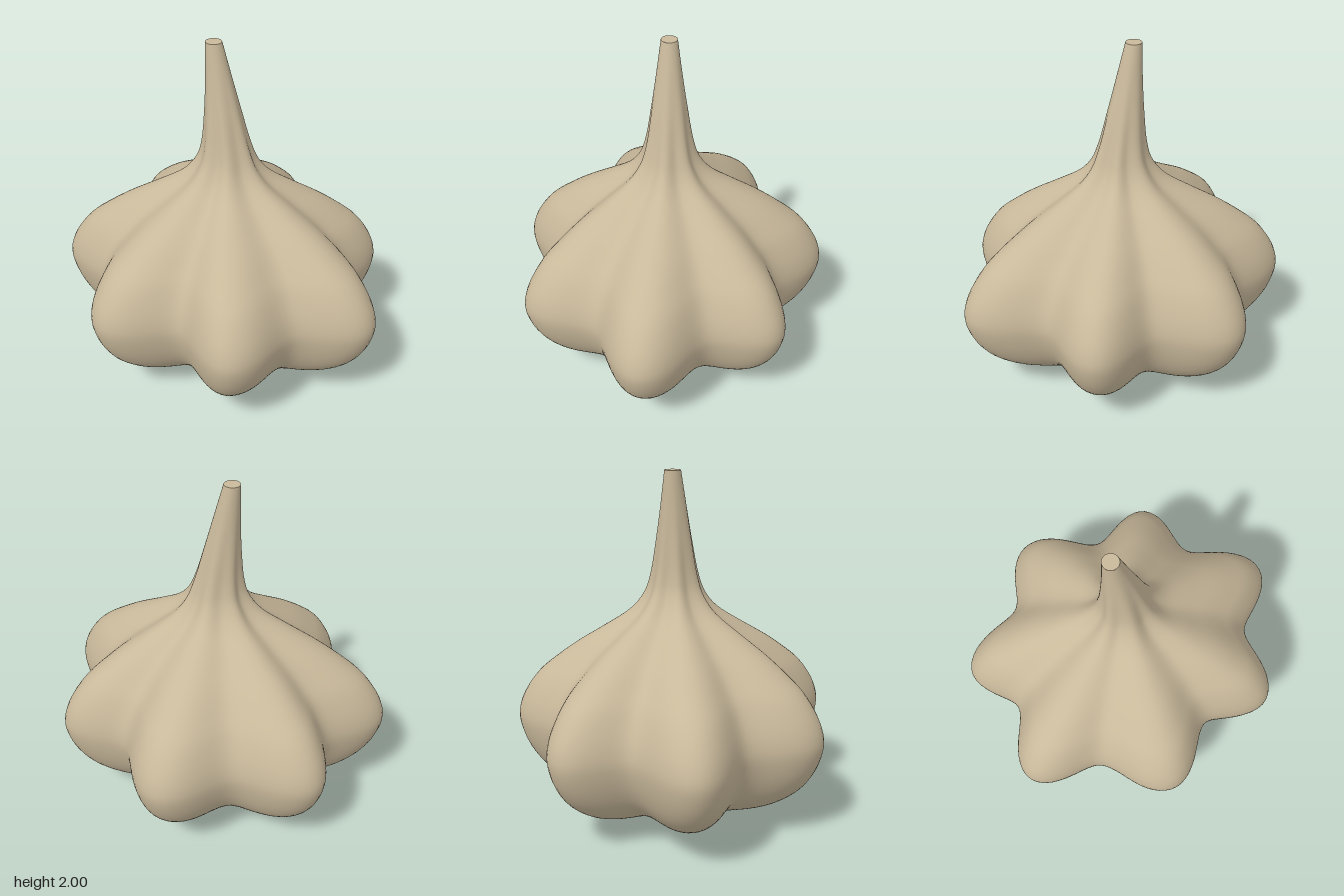
import * as THREE from 'three';

const SEGMENTS = 168, ROWS = 80, MEAN = 0.85;

// Cross-section at the widest height: alternating lobe crests and valleys [degrees, radius]
const LOBES = [
  [3.4, 1.01], [28, 0.76], [55, 0.935], [79, 0.69], [107, 0.93], [135, 0.755], [159, 1.0],
  [184, 0.76], [205.5, 0.965], [233, 0.735], [260, 0.93], [289, 0.70], [313, 0.93], [337, 0.75],
];

// Side profile: [relative width, height]
const PROFILE = [
  [0, 0], [0.24, 0.04], [0.47, 0.085], [0.64, 0.135], [0.77, 0.2], [0.88, 0.29], [0.955, 0.4],
  [0.995, 0.52], [0.99, 0.61], [0.945, 0.71], [0.86, 0.82], [0.75, 0.91], [0.62, 1.0],
  [0.45, 1.1], [0.29, 1.2], [0.2, 1.3], [0.155, 1.42], [0.12, 1.6], [0.085, 1.8], [0.053, 2],
].map(([x, y]) => new THREE.Vector2(x, y));

// Smooth cosine blend between neighbouring crests and valleys
function lobeRadius(deg) {
  const d = deg < LOBES[0][0] ? deg + 360 : deg;
  let i = LOBES.length - 1;
  while (LOBES[i][0] > d) i--;
  const [a0, r0] = LOBES[i];
  const next = LOBES[(i + 1) % LOBES.length];
  const a1 = next[0] < a0 ? next[0] + 360 : next[0];
  const t = (1 - Math.cos(Math.PI * (d - a0) / (a1 - a0))) / 2;
  return r0 + (next[1] - r0) * t;
}

// The axis leans sideways along the stem
function axis(y) {
  const lean = Math.pow(Math.max(0, (y - 1.35) / 0.65), 1.2);
  return [-0.03 - 0.08 * lean, 0.01 + 0.006 * lean];
}

function bulbGeometry() {
  const positions = [], index = [];
  const rows = new THREE.SplineCurve(PROFILE).getPoints(ROWS);
  rows.forEach(({ x: width, y }) => {
    const [cx, cz] = axis(y);
    // Lobes fade out towards the tip of the stem
    const depth = 1 - THREE.MathUtils.smoothstep(y, 0.75, 2);
    for (let i = 0; i < SEGMENTS; i++) {
      const deg = i * 360 / SEGMENTS, a = THREE.MathUtils.degToRad(deg);
      const r = width * (MEAN + depth * (lobeRadius(deg) - MEAN));
      positions.push(cx + r * Math.cos(a), y, cz + r * Math.sin(a));
    }
  });
  for (let j = 0; j < ROWS; j++) {
    for (let i = 0; i < SEGMENTS; i++) {
      const a = j * SEGMENTS + i, b = j * SEGMENTS + (i + 1) % SEGMENTS;
      const c = a + SEGMENTS, d = b + SEGMENTS;
      if (j > 0) index.push(a, c, b);
      index.push(b, c, d);
    }
  }
  const geometry = new THREE.BufferGeometry();
  geometry.setAttribute('position', new THREE.Float32BufferAttribute(positions, 3));
  geometry.setIndex(index);
  geometry.computeVertexNormals();
  return geometry;
}

export function createModel() {
  const group = new THREE.Group();
  group.name = 'garlicBulb';
  const skin = new THREE.MeshStandardMaterial({ color: 0xc9b99b });
  skin.name = 'papery beige';

  // Lobed bulb flowing into its stem
  const bulb = new THREE.Mesh(bulbGeometry(), skin);
  bulb.name = 'bulbAndStem';
  group.add(bulb);

  // Flat cut end of the stem
  const cut = new THREE.Mesh(new THREE.CircleGeometry(0.053 * MEAN, 32).rotateX(-Math.PI / 2), skin);
  cut.name = 'stemCut';
  const [x, z] = axis(2);
  cut.position.set(x, 2, z);
  group.add(cut);
  return group;
}
